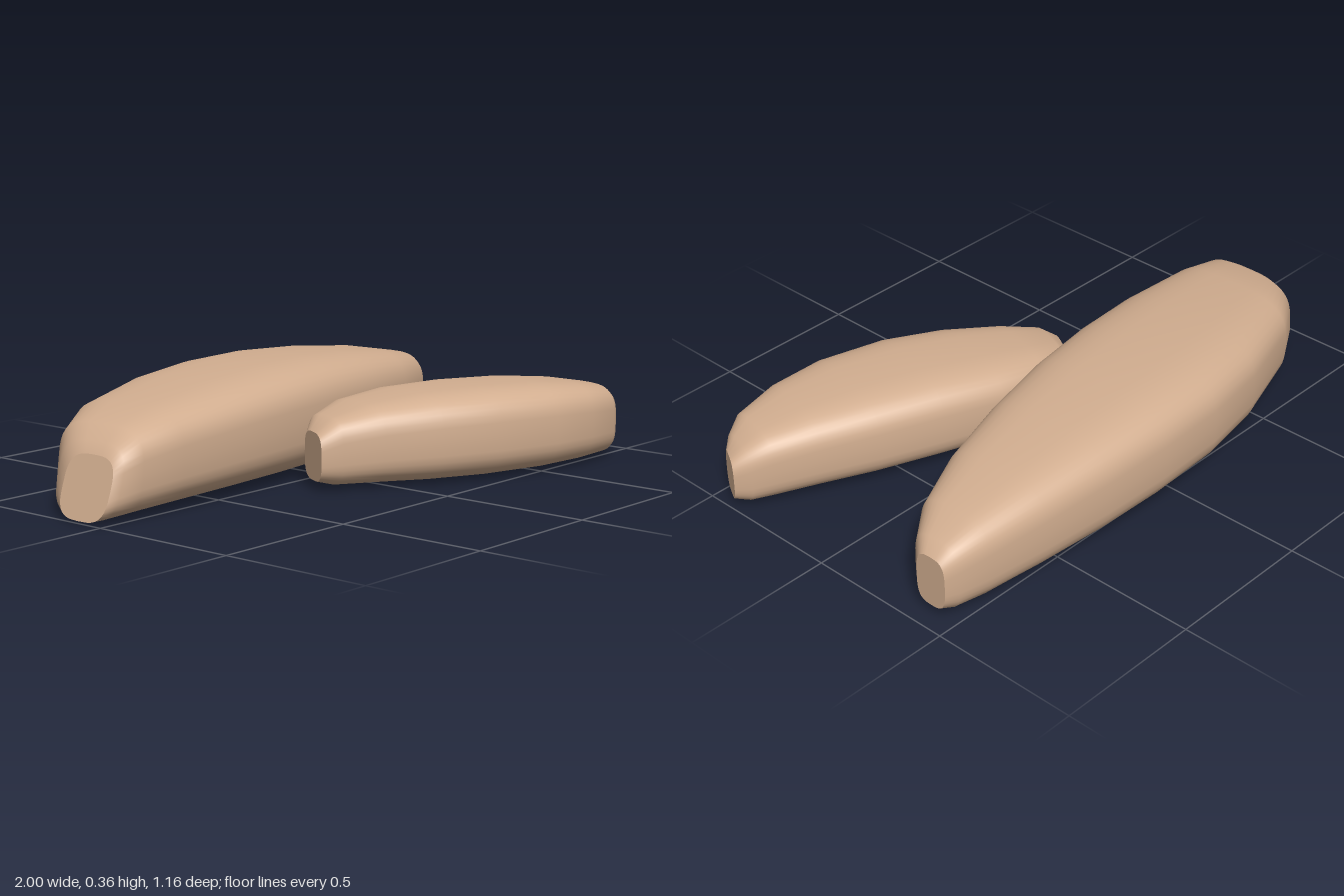
import * as THREE from 'three';

const SEGMENTS = 40;
const POWER = 0.62; // below 1 gives a boxy, rounded section

// Rounded-box ring between a back and a front point; lean moves its top along x
function ring([xb, zb, xf, zf, y0, y1, lean = 0]) {
  const points = [];
  for (let j = 0; j < SEGMENTS; j++) {
    const t = (j / SEGMENTS) * Math.PI * 2;
    const c = Math.cos(t), s = Math.sin(t);
    const u = 0.5 + 0.5 * Math.sign(c) * Math.abs(c) ** POWER;
    const v = 0.5 + 0.5 * Math.sign(s) * Math.abs(s) ** POWER;
    points.push([xb + (xf - xb) * u + lean * v, y0 + (y1 - y0) * v, zb + (zf - zb) * u]);
  }
  return points;
}

// Smooth skin through the rings, closed by a flat cap at each end
function loftedStone(stations) {
  const rings = stations.map(ring);
  const position = rings.flat(2);
  const index = [];
  for (let i = 0; i < rings.length - 1; i++) {
    for (let j = 0; j < SEGMENTS; j++) {
      const k = (j + 1) % SEGMENTS;
      const a = i * SEGMENTS + j, b = a + SEGMENTS;
      const c = i * SEGMENTS + k, d = c + SEGMENTS;
      index.push(a, b, c, b, d, c);
    }
  }
  [rings[0], rings[rings.length - 1]].forEach((cap, end) => {
    const start = position.length / 3;
    position.push(...cap.flat());
    const centre = position.length / 3;
    for (let n = 0; n < 3; n++) {
      position.push(cap.reduce((sum, p) => sum + p[n], 0) / SEGMENTS);
    }
    for (let j = 0; j < SEGMENTS; j++) {
      const a = start + j, b = start + ((j + 1) % SEGMENTS);
      if (end === 0) index.push(centre, a, b);
      else index.push(centre, b, a);
    }
  });
  const geometry = new THREE.BufferGeometry();
  geometry.setAttribute('position', new THREE.Float32BufferAttribute(position, 3));
  geometry.setIndex(index);
  geometry.computeVertexNormals();
  return geometry;
}

export function createModel() {
  const group = new THREE.Group();
  const sandstone = new THREE.MeshStandardMaterial({ color: 0xd2ae90 });
  sandstone.name = 'sandstone';

  // Stations: back x, back z, front x, front z, bottom y, top y, lean
  const parts = {
    largeStone: [
      [-1.0, -0.19, -1.0, 0.01, 0.01, 0.2, 0.065],
      [-0.97, -0.24, -0.97, 0.03, 0.01, 0.235, 0.06],
      [-0.88, -0.32, -0.88, 0.045, 0.01, 0.275, 0.03],
      [-0.7, -0.425, -0.7, 0.055, 0.01, 0.31],
      [-0.4, -0.53, -0.4, 0.045, 0.007, 0.343],
      [-0.15, -0.575, -0.15, 0.02, 0.004, 0.358],
      [0.1, -0.585, 0.1, -0.02, 0.003, 0.36],
      [0.35, -0.575, 0.35, -0.075, 0.005, 0.345],
      [0.6, -0.55, 0.6, -0.145, 0.008, 0.317],
      [0.8, -0.517, 0.8, -0.23, 0.01, 0.28],
      [0.9, -0.487, 0.9, -0.305, 0.015, 0.24],
      [0.94, -0.465, 0.94, -0.35, 0.03, 0.205],
    ],
    smallStone: [
      [-0.15, 0.045, -0.225, 0.18, 0.03, 0.185],
      [-0.1, 0.015, -0.17, 0.225, 0.015, 0.23],
      [0.03, -0.018, -0.06, 0.305, 0.01, 0.262],
      [0.2, 0.0, 0.1, 0.41, 0.005, 0.284],
      [0.4, 0.07, 0.28, 0.5, 0.004, 0.293],
      [0.6, 0.15, 0.5, 0.565, 0.006, 0.288],
      [0.77, 0.235, 0.68, 0.578, 0.01, 0.27],
      [0.9, 0.305, 0.84, 0.555, 0.012, 0.243],
      [0.96, 0.345, 0.91, 0.515, 0.015, 0.212],
      [1.0, 0.385, 0.945, 0.485, 0.03, 0.175],
    ],
  };
  for (const [name, stations] of Object.entries(parts)) {
    const mesh = new THREE.Mesh(loftedStone(stations), sandstone);
    mesh.name = name;
    group.add(mesh);
  }
  return group;
}
